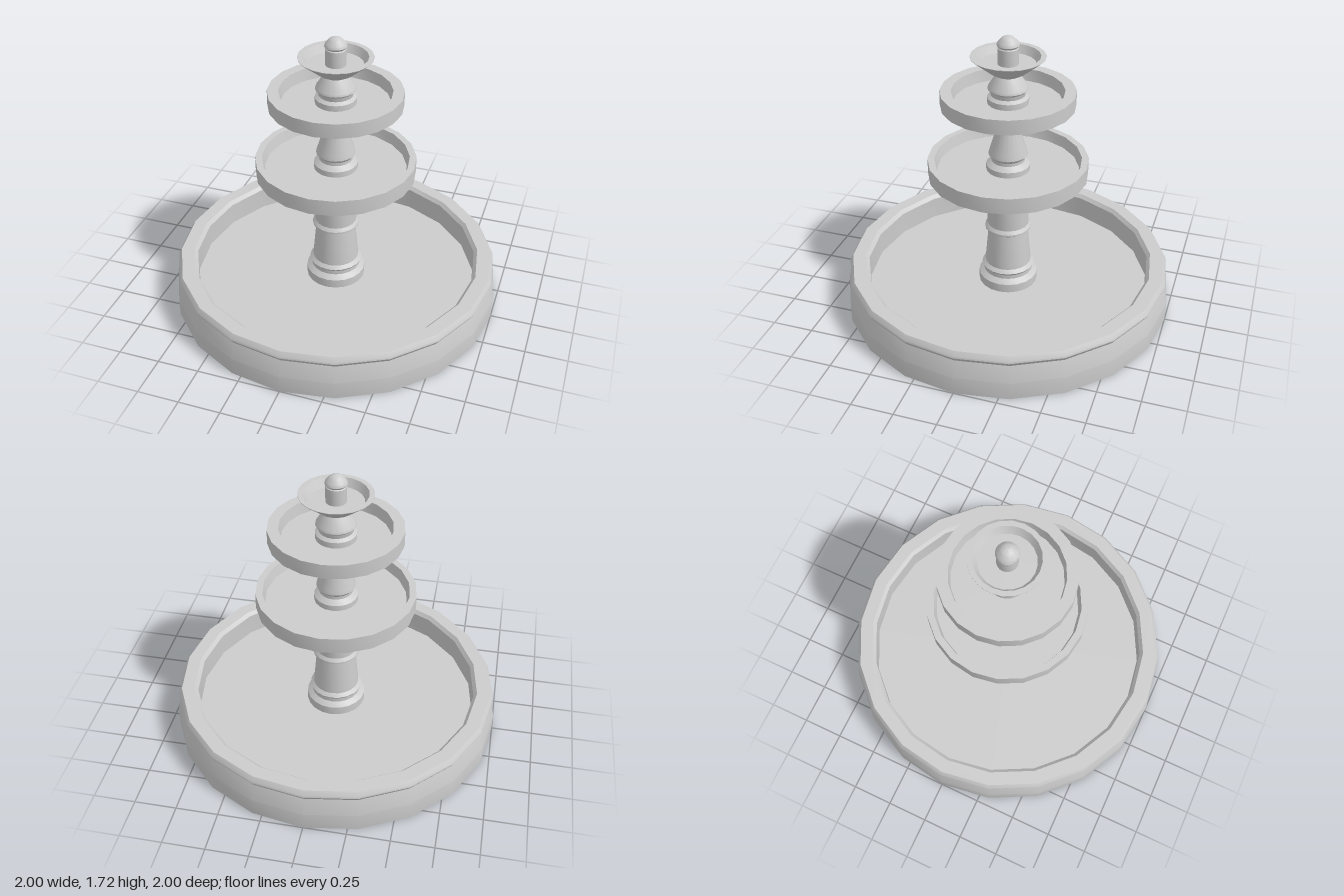
import * as THREE from 'three';
import { toCreasedNormals } from 'three/addons/utils/BufferGeometryUtils.js';

const SIDES = 20;
const material = new THREE.MeshStandardMaterial({ color: 0xcccccc });

// Turned part from [radius, height] pairs, outside going up, inside going down
function turned(name, profile) {
  const points = profile.map(([r, y]) => new THREE.Vector2(r, y));
  const geometry = toCreasedNormals(new THREE.LatheGeometry(points, SIDES), 0.4);
  const mesh = new THREE.Mesh(geometry, material);
  mesh.name = name;
  return mesh;
}

// Bowl: sloping underside, upright rim and a flat floor inside
function bowl(name, underside, rimTop, innerRadius, floorRadius, floor) {
  const outer = underside[underside.length - 1][0];
  return turned(name, [
    [0, underside[0][1]], ...underside,
    [outer, rimTop], [innerRadius, rimTop], [floorRadius, floor], [0, floor],
  ]);
}

export function createModel() {
  const fountain = new THREE.Group();
  fountain.name = 'fountain';

  fountain.add(
    // Ground pool with a moulded rim
    turned('basin', [
      [0, 0], [1, 0], [1, 0.11], [0.97, 0.21], [0.985, 0.235], [0.983, 0.245],
      [0.965, 0.272], [0.885, 0.272], [0.865, 0.25], [0.865, 0.11], [0, 0.11],
    ]),

    // Main column with foot and collar
    turned('pedestal', [
      [0.18, 0.1], [0.18, 0.165], [0.15, 0.19], [0.15, 0.215], [0.16, 0.23],
      [0.14, 0.25], [0.138, 0.275], [0.12, 0.475], [0.14, 0.49], [0.14, 0.5],
      [0.125, 0.52], [0.125, 0.72],
    ]),
    bowl('lowerBowl', [[0.13, 0.71], [0.31, 0.795], [0.475, 0.86]], 0.957, 0.435, 0.42, 0.89),

    // Middle stem
    turned('middleStem', [
      [0.13, 0.88], [0.13, 0.925], [0.1, 0.95], [0.1, 0.97], [0.116, 0.99],
      [0.112, 1.01], [0.068, 1.155], [0.068, 1.17],
    ]),
    bowl('middleBowl', [[0.068, 1.155], [0.13, 1.205], [0.39, 1.305]], 1.393, 0.325, 0.315, 1.32),

    // Upper stem
    turned('upperStem', [
      [0.12, 1.31], [0.12, 1.355], [0.1, 1.37], [0.105, 1.395], [0.118, 1.408],
      [0.115, 1.42], [0.068, 1.49], [0.068, 1.51],
    ]),
    bowl('upperBowl', [[0.07, 1.49], [0.105, 1.51], [0.215, 1.6]], 1.603, 0.185, 0.16, 1.555),

    // Spout cap
    turned('finial', [
      [0.06, 1.55], [0.06, 1.65], [0.055, 1.655], [0.065, 1.668], [0.06, 1.682],
      [0.035, 1.71], [0.015, 1.72], [0, 1.723],
    ]),
  );
  return fountain;
}
